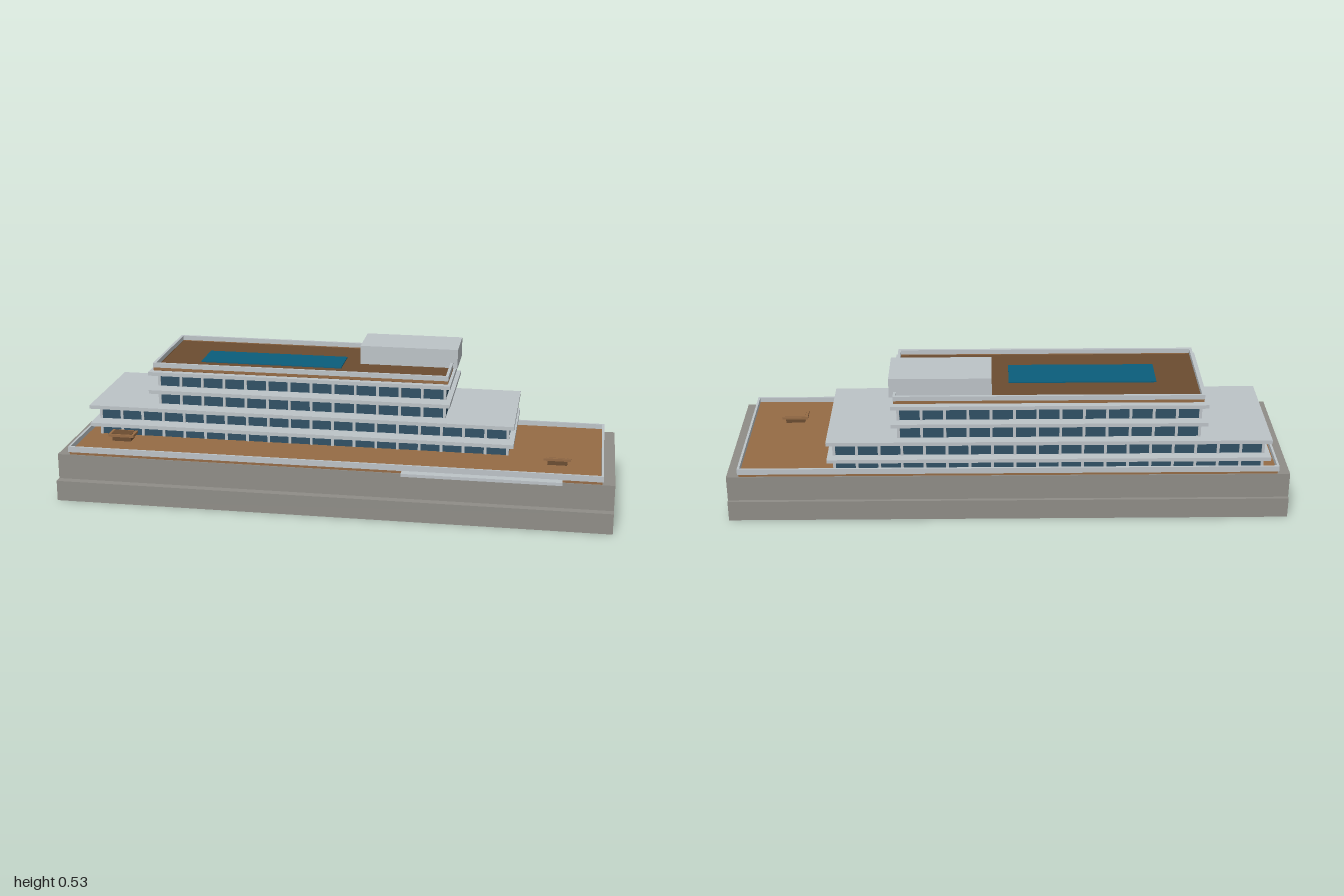
import * as THREE from 'three';

const mat = (name, color) => {
  const m = new THREE.MeshStandardMaterial({ color });
  m.name = name;
  return m;
};

export function createModel() {
  const stone = mat('stone', 0x8f8d87);
  const concrete = mat('pale concrete', 0xbcc3c7);
  const glass = mat('blue glass', 0x2f5064);
  const wood = mat('wood', 0x956b45);
  const darkWood = mat('dark wood', 0x6b4c30);
  const water = mat('water', 0x0b5d7b);

  const model = new THREE.Group();
  model.name = 'terracedBuilding';

  // Box given by its extents on each axis
  const box = (name, m, x0, x1, y0, y1, z0, z1, parent = model) => {
    const mesh = new THREE.Mesh(new THREE.BoxGeometry(x1 - x0, y1 - y0, z1 - z0), m);
    mesh.position.set((x0 + x1) / 2, (y0 + y1) / 2, (z0 + z1) / 2);
    mesh.name = name;
    parent.add(mesh);
    return mesh;
  };

  // Rectangular ring of four low walls
  const ring = (name, m, x0, x1, y0, y1, z0, z1, t) => {
    const g = new THREE.Group();
    g.name = name;
    box('frontWall', m, x0, x1, y0, y1, z1 - t, z1, g);
    box('backWall', m, x0, x1, y0, y1, z0, z0 + t, g);
    box('rightWall', m, x0, x0 + t, y0, y1, z0 + t, z1 - t, g);
    box('leftWall', m, x1 - t, x1, y0, y1, z0 + t, z1 - t, g);
    model.add(g);
  };

  // Stepped base
  box('basePlinth', stone, -1, 1, 0, 0.075, -0.313, 0.313);
  box('baseUpper', stone, -1, 1, 0.075, 0.168, -0.3, 0.283);

  // Podium terrace with parapet and entrance canopy
  box('terraceDeck', wood, -0.956, 0.956, 0.168, 0.181, -0.296, 0.279);
  ring('terraceParapet', concrete, -0.96, 0.96, 0.178, 0.199, -0.3, 0.283, 0.008);
  box('entranceCanopy', concrete, 0.26, 0.82, 0.168, 0.179, 0.275, 0.314);

  // Terrace planters: a narrow foot below a wider rimmed top
  for (const [x, top] of [[-0.802, darkWood], [0.797, wood]]) {
    box('planterFoot', darkWood, x - 0.035, x + 0.035, 0.181, 0.2, 0.098, 0.142);
    box('planterTop', wood, x - 0.048, x + 0.048, 0.199, 0.208, 0.09, 0.151);
    box('planterInset', top, x - 0.038, x + 0.038, 0.208, 0.2095, 0.098, 0.143);
  }

  // Storeys: glazed core, front and back mullions, overhanging slab
  const storeys = [
    { x0: -0.905, x1: 0.62, y0: 0.181, y1: 0.228, bays: 19 },
    { x0: -0.905, x1: 0.62, y0: 0.24, y1: 0.296, bays: 19 },
    { x0: -0.675, x1: 0.39, y0: 0.31, y1: 0.366, bays: 13 },
    { x0: -0.675, x1: 0.39, y0: 0.379, y1: 0.435, bays: 13 },
  ];
  storeys.forEach(({ x0, x1, y0, y1, bays }, i) => {
    const g = new THREE.Group();
    g.name = 'storey' + (i + 1);
    box('glazing', glass, x0, x1, y0, y1, -0.275, 0.063, g);
    for (let b = 0; b <= bays; b++) {
      const x = x0 + 0.004 + ((x1 - x0 - 0.008) * b) / bays;
      box('frontMullion', concrete, x - 0.005, x + 0.005, y0, y1, 0.06, 0.067, g);
      box('backMullion', concrete, x - 0.005, x + 0.005, y0, y1, -0.279, -0.272, g);
    }
    box('floorSlab', concrete, x0 - 0.02, x1 + 0.02, y1, y1 + 0.0135, -0.313, 0.127, g);
    model.add(g);
  });

  // Roof terrace with parapet and pool
  box('roofDeck', darkWood, -0.676, 0.396, 0.448, 0.458, -0.289, 0.103);
  ring('roofBand', wood, -0.68, 0.4, 0.45, 0.461, -0.292, 0.106, 0.009);
  ring('roofParapet', concrete, -0.681, 0.401, 0.461, 0.478, -0.293, 0.107, 0.01);
  box('poolWater', water, -0.527, -0.002, 0.456, 0.462, -0.146, -0.001);

  // Rooftop pavilion
  box('roofPavilion', concrete, 0.058, 0.417, 0.456, 0.527, -0.254, -0.074);

  return model;
}
